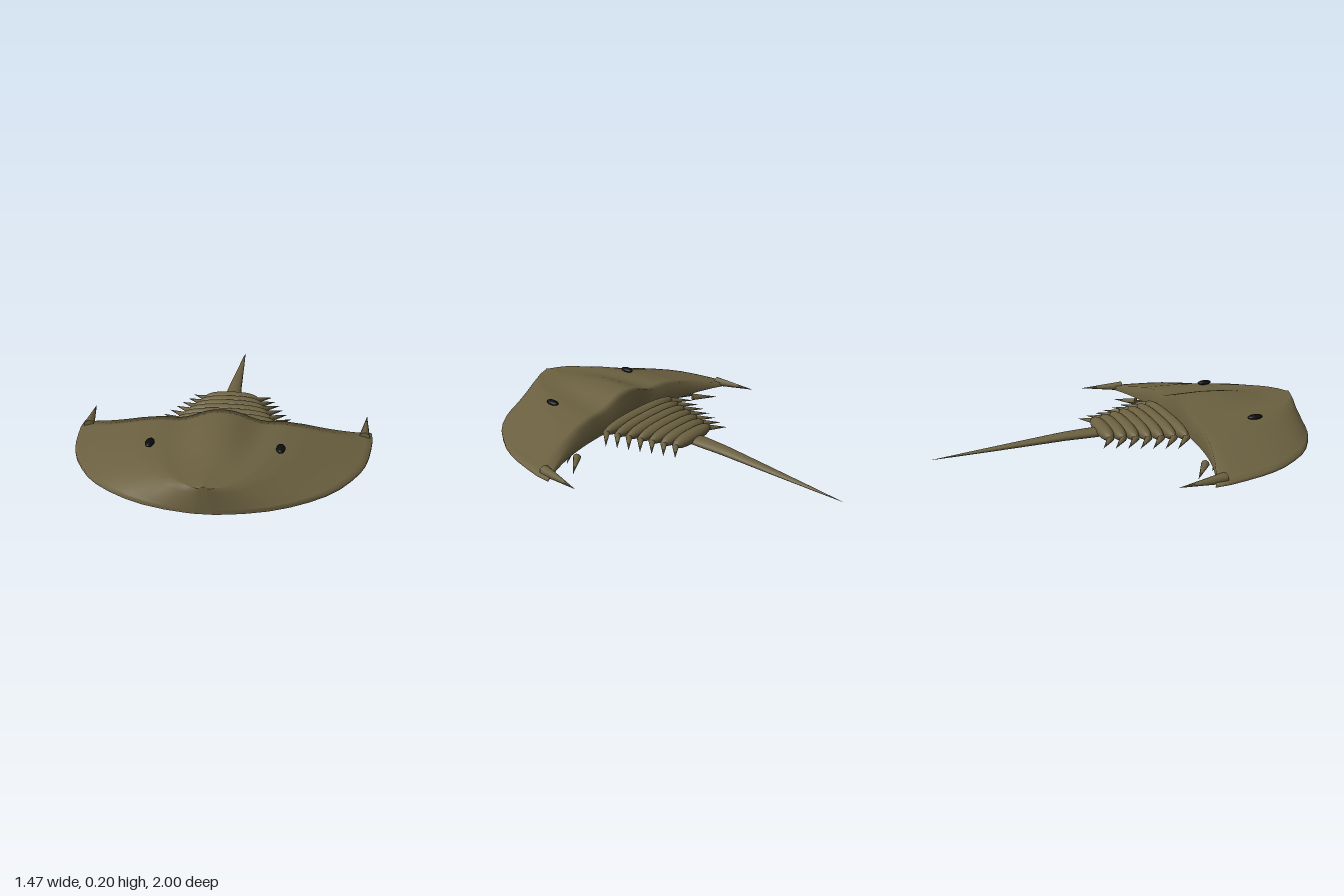
import * as THREE from 'three';

const shellMat = new THREE.MeshStandardMaterial({ color: 0x6b6040 });
shellMat.name = 'olive brown shell';
const eyeMat = new THREE.MeshStandardMaterial({ color: 0x0c0c0c });
eyeMat.name = 'black eye';

// Smooth surface through equally long rows of [x, y, z] points
function loft(rows) {
  const n = rows[0].length, index = [];
  for (let r = 0; r < rows.length - 1; r++) {
    for (let c = 0; c < n - 1; c++) {
      const a = r * n + c, b = a + n;
      index.push(a, b, a + 1, a + 1, b, b + 1);
    }
  }
  const g = new THREE.BufferGeometry();
  g.setAttribute('position', new THREE.Float32BufferAttribute(rows.flat(2), 3));
  g.setIndex(index);
  g.computeVertexNormals();
  return g;
}

// Linear interpolation in a list of [key, value]
function sample(list, k) {
  for (let i = 1; i < list.length; i++) {
    const [k0, v0] = list[i - 1], [k1, v1] = list[i];
    if (k <= k1) return v0 + (v1 - v0) * (k - k0) / (k1 - k0);
  }
  return list[list.length - 1][1];
}

function add(parent, name, geometry, material = shellMat) {
  const m = new THREE.Mesh(geometry, material);
  m.name = name;
  parent.add(m);
  return m;
}

// Cone from a base point to a tip
function spike(parent, name, base, tip, radius) {
  const a = new THREE.Vector3(...base), b = new THREE.Vector3(...tip);
  const dir = b.clone().sub(a);
  const m = add(parent, name, new THREE.ConeGeometry(radius, dir.length(), 8));
  m.position.copy(a).lerp(b, 0.5);
  m.quaternion.setFromUnitVectors(new THREE.Vector3(0, 1, 0), dir.normalize());
}

function buildShell(parent) {
  const floor = 0.03;
  // [centre z, half width, backward sweep of the sides]
  const sections = [
    [0.31, 0.735, 0.14], [0.36, 0.735, 0.11], [0.42, 0.722, 0.08], [0.48, 0.706, 0.05],
    [0.54, 0.685, 0.03], [0.6, 0.655, 0.015], [0.67, 0.61, 0.005], [0.74, 0.56, 0],
    [0.8, 0.505, 0], [0.86, 0.43, 0], [0.91, 0.35, 0], [0.95, 0.265, 0],
    [0.98, 0.165, 0], [0.995, 0.08, 0], [1, 0.04, 0],
  ];
  const arch = [[0, 0.155], [0.27, 0.148], [0.41, 0.147], [0.54, 0.131], [0.68, 0.104],
    [0.82, 0.077], [0.94, 0.054], [1, 0.045]];
  const hump = [[0, 0.045], [0.06, 0.044], [0.11, 0.037], [0.2, 0.013], [0.27, 0], [1, 0]];
  const fade = [[0.3, 1], [0.48, 1], [0.6, 0.8], [0.72, 0.38], [0.82, 0.05], [0.9, 0], [1, 0]];
  const steps = Array.from({ length: 49 }, (_, i) => i / 24 - 1);

  const top = sections.map(([z, w, sweep]) => {
    const row = steps.map(t => {
      const s = Math.abs(t);
      return [t * w, sample(arch, s) + sample(hump, s) * sample(fade, z), z - sweep * s ** 3];
    });
    const drop = p => [p[0], floor, p[2]];
    return [drop(row[0]), ...row, drop(row[row.length - 1])];
  });
  const flat = top.map(row => row.map(([x, , z]) => [x, floor, z]));

  // Dome with its back and front walls, then the flat underside
  add(parent, 'shell', loft([flat[0], ...top, flat[flat.length - 1]]));
  add(parent, 'underside', loft(flat.map(row => [...row].reverse())));
}

function buildAbdomen(parent) {
  const abdomen = new THREE.Group();
  abdomen.name = 'abdomen';
  parent.add(abdomen);
  for (let i = 0; i < 7; i++) {
    const z = 0.243 - i * 0.061, halfWidth = 0.275 - i * 0.0215;
    const y = 0.083 - i * 0.0005, halfHeight = 0.043 - i * 0.0012;
    // Rounded bar: a sphere with its ends squared off
    const g = new THREE.SphereGeometry(1, 32, 16);
    const p = g.attributes.position;
    for (let k = 0; k < p.count; k++) {
      const x = p.getX(k);
      p.setX(k, Math.sign(x) * Math.abs(x) ** 0.75);
    }
    g.scale(halfWidth, halfHeight, 0.04);
    g.computeVertexNormals();
    add(abdomen, 'abdomenSegment', g).position.set(0, y, z);

    for (const side of [1, -1]) {
      spike(abdomen, 'abdomenSpine', [side * (halfWidth - 0.02), y - 0.005, z + 0.005],
        [side * (halfWidth + 0.083 - i * 0.002), y - 0.015, z - 0.09 + i * 0.004], 0.019);
    }
  }
}

function buildTail(parent) {
  // [z, centre y, half width, half height]
  const sections = [[-0.12, 0.066, 0.045, 0.023], [-0.2, 0.066, 0.043, 0.023],
    [-0.33, 0.066, 0.036, 0.021], [-0.6, 0.055, 0.022, 0.014],
    [-0.85, 0.045, 0.009, 0.006], [-1, 0.039, 0.0005, 0.0005]];
  add(parent, 'tail', loft(sections.map(([z, y, rx, ry]) =>
    Array.from({ length: 17 }, (_, i) => {
      const a = i / 16 * Math.PI * 2 - Math.PI / 2;
      return [Math.cos(a) * rx, y + Math.sin(a) * ry, z];
    }))));
}

export function createModel() {
  const model = new THREE.Group();
  model.name = 'horseshoeCrab';
  buildShell(model);
  buildAbdomen(model);
  buildTail(model);

  for (const side of [1, -1]) {
    // Eye on the shoulder of the shell
    const eye = add(model, 'eye', new THREE.SphereGeometry(1, 20, 12), eyeMat);
    eye.scale.set(0.021, 0.013, 0.042);
    eye.position.set(side * 0.297, 0.154, 0.615);

    // Spine at the rear corner of the shell
    spike(model, 'cornerSpine', [side * 0.695, 0.05, 0.24], [side * 0.724, 0.055, -0.01], 0.028);

    // Leg tips below the shell
    for (let i = 0; i < 3; i++) {
      spike(model, 'legTip', [side * (0.36 + i * 0.055), 0.021, 0.45 - i * 0.1],
        [side * (0.48 + i * 0.055), 0.008, 0.355 - i * 0.1], 0.021);
    }
  }
  return model;
}
